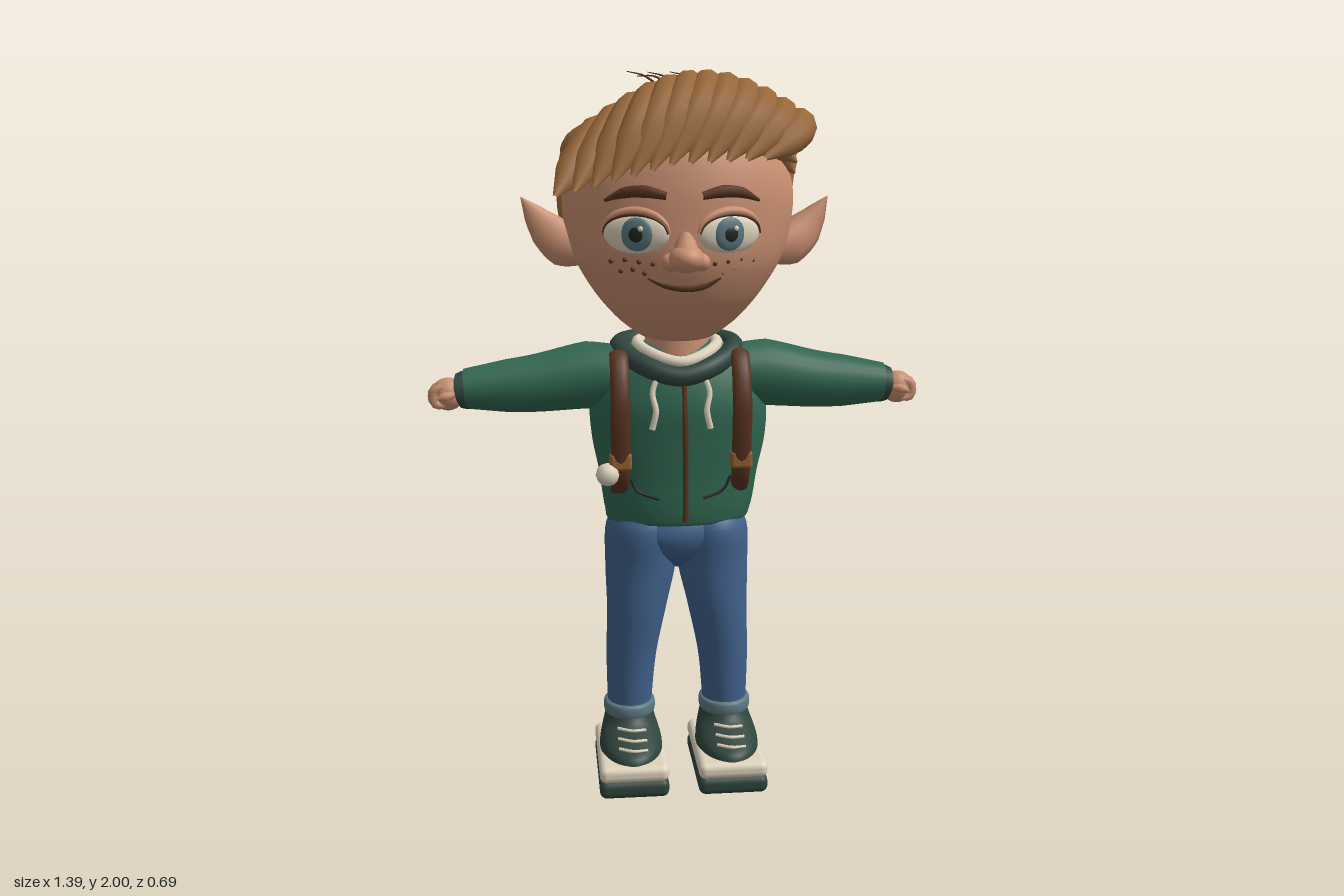
import * as THREE from 'three';
import { mergeVertices } from 'three/addons/utils/BufferGeometryUtils.js';
import { RoundedBoxGeometry } from 'three/addons/geometries/RoundedBoxGeometry.js';

const paint = (name, color) => Object.assign(new THREE.MeshStandardMaterial({ color }), { name });
const skin = paint('skin', 0xc98f71), hair = paint('hair', 0x99683a), green = paint('hoodieGreen', 0x306650);
const denim = paint('denim', 0x40618a), dark = paint('darkGreen', 0x2f443c), cream = paint('cream', 0xded3bd);
const leather = paint('leather', 0x966030), brown = paint('darkBrown', 0x58331f);
const teal = paint('greyTeal', 0x5c7880), ink = paint('ink', 0x1e2622);

const lerp = THREE.MathUtils.lerp;
const vecs = (pts) => pts.map((p) => new THREE.Vector3(...p));

// Tube along a curve whose radius follows a list
function sweep(pts, radii, sides = 12, segs = 20, closed = false) {
  const curve = new THREE.CatmullRomCurve3(vecs(pts), closed);
  const geo = new THREE.TubeGeometry(curve, segs, 1, sides, closed);
  const pos = geo.attributes.position, v = new THREE.Vector3();
  for (let i = 0; i < pos.count; i++) {
    const t = Math.floor(i / (sides + 1)) / segs;
    const f = t * (radii.length - 1), k = Math.min(Math.floor(f), radii.length - 2);
    const r = lerp(radii[k], radii[k + 1], f - k);
    const c = curve.getPointAt(t);
    v.fromBufferAttribute(pos, i).sub(c).multiplyScalar(r).add(c);
    pos.setXYZ(i, v.x, v.y, v.z);
  }
  return geo;
}

// Smooth body through oval rings: [y, centre x, centre z, half width, half depth]
function loft(rings) {
  const mid = new THREE.CatmullRomCurve3(rings.map((r) => new THREE.Vector3(r[1], r[0], r[2])));
  const size = new THREE.CatmullRomCurve3(rings.map((r) => new THREE.Vector3(r[3], r[0], r[4])));
  const geo = new THREE.CylinderGeometry(1, 1, 1, 40, rings.length * 5, true);
  const pos = geo.attributes.position;
  for (let i = 0; i < pos.count; i++) {
    const t = THREE.MathUtils.clamp(pos.getY(i) + 0.5, 0, 1);
    const c = mid.getPoint(t), s = size.getPoint(t);
    pos.setXYZ(i, c.x + pos.getX(i) * s.x, c.y, c.z + pos.getZ(i) * s.z);
  }
  geo.deleteAttribute('uv');
  geo.deleteAttribute('normal');
  const merged = mergeVertices(geo);
  merged.computeVertexNormals();
  return merged;
}

// Front surface of a lofted body
function frontZ(rings, x, y) {
  let k = 0;
  while (k < rings.length - 2 && rings[k + 1][0] < y) k++;
  const a = rings[k], b = rings[k + 1], t = (y - a[0]) / (b[0] - a[0]);
  const rx = lerp(a[3], b[3], t);
  return lerp(a[2], b[2], t) + lerp(a[4], b[4], t) * Math.sqrt(Math.max(0, 1 - (x / rx) ** 2));
}

const HEAD = [[1.265, 0, 0, 0.004, 0.004], [1.28, 0, 0, 0.09, 0.1], [1.33, 0, 0, 0.162, 0.168],
  [1.4, 0, 0.005, 0.224, 0.22], [1.5, 0, 0.015, 0.283, 0.252], [1.6, 0, 0.013, 0.31, 0.258], [1.7, 0, 0.01, 0.312, 0.256],
  [1.8, 0, 0.005, 0.27, 0.235], [1.87, 0, 0, 0.18, 0.17], [1.9, 0, 0, 0.004, 0.004]];
const TORSO = [[0.77, 0, -0.015, 0.01, 0.01], [0.76, 0, -0.015, 0.195, 0.12], [0.79, 0.003, -0.015, 0.208, 0.129],
  [0.9, 0.005, -0.015, 0.226, 0.132], [1.0, 0.006, -0.015, 0.246, 0.137], [1.1, 0.004, -0.015, 0.248, 0.14],
  [1.2, 0, -0.025, 0.212, 0.125], [1.26, 0, -0.03, 0.14, 0.09], [1.28, 0, -0.03, 0.01, 0.01]];

export function createModel() {
  const model = new THREE.Group();
  model.name = 'youngElf';
  const add = (name, geo, mat, at = [0, 0, 0], scale = [1, 1, 1], parent = model) => {
    const mesh = new THREE.Mesh(geo, mat);
    mesh.name = name;
    mesh.position.set(...at);
    mesh.scale.set(...scale);
    parent.add(mesh);
    return mesh;
  };
  const ball = new THREE.SphereGeometry(1, 28, 18);
  const drawn = (name, mat, rings, pts, radii) =>
    add(name, sweep(pts.map(([x, y]) => [x, y, frontZ(rings, x, y) + 0.003]), radii, 8, 24), mat);

  // Head, neck and nose
  add('head', loft(HEAD), skin);
  add('neck', new THREE.CylinderGeometry(0.085, 0.095, 0.16, 24), skin, [0, 1.25, -0.01]);
  add('noseBridge', sweep([[-0.005, 1.59, 0.25], [-0.005, 1.55, 0.272], [-0.005, 1.52, 0.295]], [0.008, 0.028, 0.036]), skin);
  add('noseTip', ball, skin, [-0.005, 1.515, 0.292], [0.046, 0.036, 0.052]);
  for (const s of [-1, 1]) add('nostrilWing', ball, skin, [s * 0.038 - 0.005, 1.505, 0.27], [0.026, 0.024, 0.028]);

  // Mouth
  drawn('mouth', brown, HEAD, [[-0.1, 1.463], [-0.06, 1.446], [0, 1.436], [0.05, 1.442], [0.09, 1.462]], [0.003, 0.009, 0.01, 0.009, 0.003]);

  for (const s of [-1, 1]) {
    // Eyes
    const eye = new THREE.Group();
    eye.name = 'eye';
    const ex = s * 0.119 - 0.01;
    eye.position.set(ex, 1.577, frontZ(HEAD, ex, 1.577) - 0.006);
    eye.rotation.set(0.06, s * 0.36, 0, 'YXZ');
    model.add(eye);
    add('eyeWhite', ball, cream, [0, 0, 0], [0.088, 0.053, 0.023], eye);
    add('iris', ball, teal, [-s * 0.006, 0, 0.017], [0.043, 0.043, 0.011], eye);
    add('pupil', ball, ink, [-s * 0.006, 0, 0.025], [0.02, 0.02, 0.006], eye);
    add('glint', ball, cream, [-s * 0.006 + 0.013, 0.015, 0.027], [0.007, 0.007, 0.005], eye);
    const arc = (r, k) => [...Array(9)].map((_, i) => {
      const a = Math.PI * i / 8;
      return [Math.cos(a) * r, Math.sin(a) * r * 0.62 * k, 0.004 + 0.008 * Math.sin(a)];
    });
    add('upperLid', sweep(arc(0.09, 1.05), [0.003, 0.01, 0.012, 0.01, 0.003]), skin, [0, 0, 0], [1, 1, 1], eye);
    add('lashLine', sweep(arc(0.087, 0.93), [0.002, 0.005, 0.002], 8), brown, [0, 0, 0.007], [1, 1, 1], eye);

    // Brows and freckles
    drawn('brow', brown, HEAD, [[s * 0.045 - 0.008, 1.672], [s * 0.1 - 0.008, 1.683], [s * 0.15 - 0.008, 1.68], [s * 0.2 - 0.008, 1.66]],
      [0.01, 0.016, 0.014, 0.004]);
    for (const [x, y] of [[0.08, 1.5], [0.1, 1.475], [0.115, 1.505], [0.13, 1.485], [0.15, 1.51], [0.16, 1.48], [0.185, 1.505]])
      add('freckle', ball, brown, [s * x - 0.008, y, frontZ(HEAD, x, y)], [0.0065, 0.0065, 0.005]);

    // Pointed ears
    add('ear', sweep([[s * 0.25, 1.52, 0.02], [s * 0.31, 1.535, 0.012], [s * 0.365, 1.585, -0.02], [s * 0.425, 1.662, -0.055]],
      [0.04, 0.06, 0.052, 0.03, 0.001]), skin, [0, 0, 0], [1, 1, 0.72]);

    // Sleeves, cuffs and hands
    add('sleeve', sweep([[s * 0.13, 1.175, -0.02], [s * 0.24, 1.172, -0.02], [s * 0.4, 1.15, -0.02], [s * 0.59, 1.137, -0.025]],
      [0.075, 0.095, 0.084, 0.074, 0.056], 24), green);
    add('sleeveCuff', sweep([[s * 0.57, 1.136, -0.025], [s * 0.595, 1.133, -0.025], [s * 0.622, 1.129, -0.026]], [0.04, 0.055, 0.053, 0.048, 0.02], 20), dark);
    add('palm', ball, skin, [s * 0.638, 1.122, -0.03], [0.046, 0.046, 0.04]);
    for (let i = 0; i < 4; i++) {
      const z = -0.057 + i * 0.017, reach = 0.668 + 0.008 * Math.sin(Math.PI * (i + 0.5) / 4);
      add('finger', sweep([[s * 0.64, 1.145, z], [s * reach, 1.135, z], [s * reach, 1.1, z], [s * 0.64, 1.09, z]], [0.008, 0.014, 0.014, 0.014, 0.003], 8, 10), skin);
    }
    add('thumb', sweep([[s * 0.62, 1.125, 0], [s * 0.645, 1.12, 0.01], [s * 0.668, 1.112, 0.004]], [0.01, 0.014, 0.002], 10, 10), skin);

    // Legs and rolled hems
    add('trouserLeg', loft([[0.19, s * 0.14, -0.01, 0.063, 0.073], [0.35, s * 0.134, -0.005, 0.072, 0.081], [0.5, s * 0.117, -0.008, 0.086, 0.1],
      [0.63, s * 0.104, -0.022, 0.102, 0.117], [0.74, s * 0.1, -0.024, 0.102, 0.125], [0.8, s * 0.09, -0.02, 0.08, 0.09]]), denim);
    add('trouserHem', loft([[0.17, s * 0.14, -0.01, 0.05, 0.06], [0.178, s * 0.14, -0.01, 0.072, 0.083], [0.21, s * 0.14, -0.01, 0.073, 0.084],
      [0.22, s * 0.14, -0.01, 0.055, 0.065]]), teal);

    // Shoes
    const slab = (h) => new RoundedBoxGeometry(0.196, h, 0.34, 4, 0.02);
    add('outsole', slab(0.052), dark, [s * 0.14, 0.026, 0.05]);
    add('midsole', slab(0.048), cream, [s * 0.14, 0.07, 0.05]);
    add('shoeUpper', loft([[0.085, s * 0.14, 0.05, 0.09, 0.16], [0.11, s * 0.14, 0.045, 0.089, 0.152], [0.135, s * 0.14, 0.018, 0.082, 0.128],
      [0.16, s * 0.14, -0.01, 0.073, 0.1], [0.195, s * 0.14, -0.015, 0.064, 0.078]]), dark);
    for (const [y, z] of [[0.122, 0.174], [0.138, 0.141], [0.154, 0.105]])
      add('lace', sweep([[s * 0.14 - 0.04, y + 0.004, z - 0.018], [s * 0.14, y + 0.002, z], [s * 0.14 + 0.04, y - 0.002, z - 0.012]], [0.005, 0.005], 6, 8), cream);

    // Backpack straps
    add('strap', sweep([[0, 1.2, 0.02], [0, 1.24, 0.05], [0, 1.21, 0.092], [0, 1.12, 0.127], [0, 1.0, 0.122],
      [0, 0.9, 0.1], [0, 0.858, 0.06], [0, 0.86, 0]], [0.012, 0.013, 0.012], 12, 40), brown, [s * 0.167, 0, 0], [2.1, 1, 1]);
    add('strapBuckle', new RoundedBoxGeometry(0.062, 0.05, 0.034, 3, 0.01), leather, [s * 0.167, 0.95, 0.11]);
    add('strapAnchor', new RoundedBoxGeometry(0.05, 0.03, 0.05, 2, 0.008), brown, [s * 0.19, 0.87, -0.16]);

    // Drawstrings and pocket seams
    drawn('drawstring', cream, TORSO, [[s * 0.06, 1.19], [s * 0.078, 1.14], [s * 0.07, 1.09], [s * 0.08, 1.04]], [0.008, 0.008, 0.009]);
    drawn('pocketSeam', ink, TORSO, [[s * 0.14, 0.9], [s * 0.12, 0.862], [s * 0.06, 0.84]], [0.004, 0.004]);
  }

  // Seat of the trousers
  add('hips', loft([[0.62, 0, -0.02, 0.02, 0.05], [0.67, 0, -0.022, 0.12, 0.11], [0.73, 0, -0.024, 0.196, 0.127], [0.79, 0, -0.02, 0.19, 0.1]]), denim);

  // Hoodie
  add('hoodieBody', loft(TORSO), green);
  add('hood', ball, green, [0, 1.19, -0.13], [0.2, 0.11, 0.13]);
  drawn('zip', brown, TORSO, [[0.012, 0.775], [0.012, 0.9], [0.01, 1.05], [0.008, 1.17]], [0.008, 0.008]);
  add('hoodCollar', sweep([[0, 1.183, 0.106], [0.1, 1.21, 0.075], [0.16, 1.25, -0.02], [0.1, 1.262, -0.1],
    [-0.1, 1.262, -0.1], [-0.16, 1.25, -0.02], [-0.1, 1.21, 0.075]], [0.029, 0.029], 12, 48, true), dark);
  add('shirtCollar', sweep([[0, 1.22, 0.098], [0.08, 1.242, 0.06], [0.11, 1.265, -0.01], [0, 1.27, -0.1],
    [-0.11, 1.265, -0.01], [-0.08, 1.242, 0.06]], [0.017, 0.017], 10, 40, true), cream);
  add('charm', new THREE.IcosahedronGeometry(0.033, 1), cream, [-0.203, 0.915, 0.115]);

  // Backpack
  add('backpack', new RoundedBoxGeometry(0.36, 0.36, 0.18, 5, 0.05), leather, [0, 1.01, -0.212]);
  add('backpackPocket', new RoundedBoxGeometry(0.29, 0.18, 0.07, 4, 0.028), leather, [0, 0.95, -0.306]);
  add('pocketZip', new RoundedBoxGeometry(0.2, 0.016, 0.008, 2, 0.003), brown, [0, 1.0, -0.34]);

  // Hair cap
  add('hairCap', new THREE.SphereGeometry(1, 40, 20, 0, Math.PI * 2, 0, Math.PI * 0.56), hair, [0, 1.67, -0.035], [0.305, 0.245, 0.24]);

  // Back and side locks on a squared outline, raked backwards
  const locks = 27;
  for (let i = 0; i < locks; i++) {
    const phi = lerp(-2.3, 2.3, i / (locks - 1));
    const end = 1.465 + 0.14 * (Math.abs(phi) / 1.57) ** 1.9 + (i % 2) * 0.012;
    const at = (rx, rz, y, rake) => {
      const a = phi * rake, dx = Math.sin(a), dz = -Math.cos(a);
      const s = (Math.abs(dx) ** 7 + Math.abs(dz) ** 7) ** (-1 / 7);
      return [dx * s * rx, y, -0.06 + dz * s * rz];
    };
    add('hairLock', sweep([at(0.17, 0.14, 1.86, 1.12), at(0.235, 0.18, 1.825, 1.08), at(0.272, 0.203, lerp(1.84, end, 0.35), 1.03),
      at(0.287, 0.223, lerp(1.84, end, 0.68), 0.99), at(0.312, 0.25, end, 0.96)], [0.018, 0.038, 0.043, 0.04, 0.003], 10, 18), hair);
  }

  // Fringe swept forward and across to the right
  const bangs = 12;
  for (let i = 0; i < bangs; i++) {
    const u = i / (bangs - 1), b = Math.sin(Math.PI * u), w = Math.min(1, u * 3.5);
    add('fringeLock', sweep([
      [lerp(-0.2, 0.31, u), 1.835 + 0.085 * b, 0],
      [lerp(-0.22, 0.315, u), 1.835 + 0.11 * b + 0.02 * u, 0.085],
      [lerp(-0.265, 0.29, u), 1.775 + 0.09 * b + 0.055 * u, lerp(0.16, 0.225, w) - 0.03 * u * u],
      [lerp(-0.335, 0.2, u), 1.67 + 0.075 * Math.min(1, u * 1.8) + 0.02 * u * u, lerp(0.22, 0.288, w) - 0.035 * u * u],
    ], [0.026, 0.042, 0.046, 0.043, 0.006], 10, 18), hair);
  }

  // Loose wisps on the crown
  for (let i = 0; i < 6; i++) {
    const x = -0.04 + i * 0.03, z = -0.07 - (i % 3) * 0.016;
    add('wisp', sweep([[x + 0.02, 1.89, z], [x, 1.95, z - 0.006], [x - 0.04, 1.985, z - 0.013], [x - 0.09, 1.998 - (i % 2) * 0.012, z - 0.02]],
      [0.004, 0.004, 0.001], 6, 12), brown);
  }
  return model;
}
